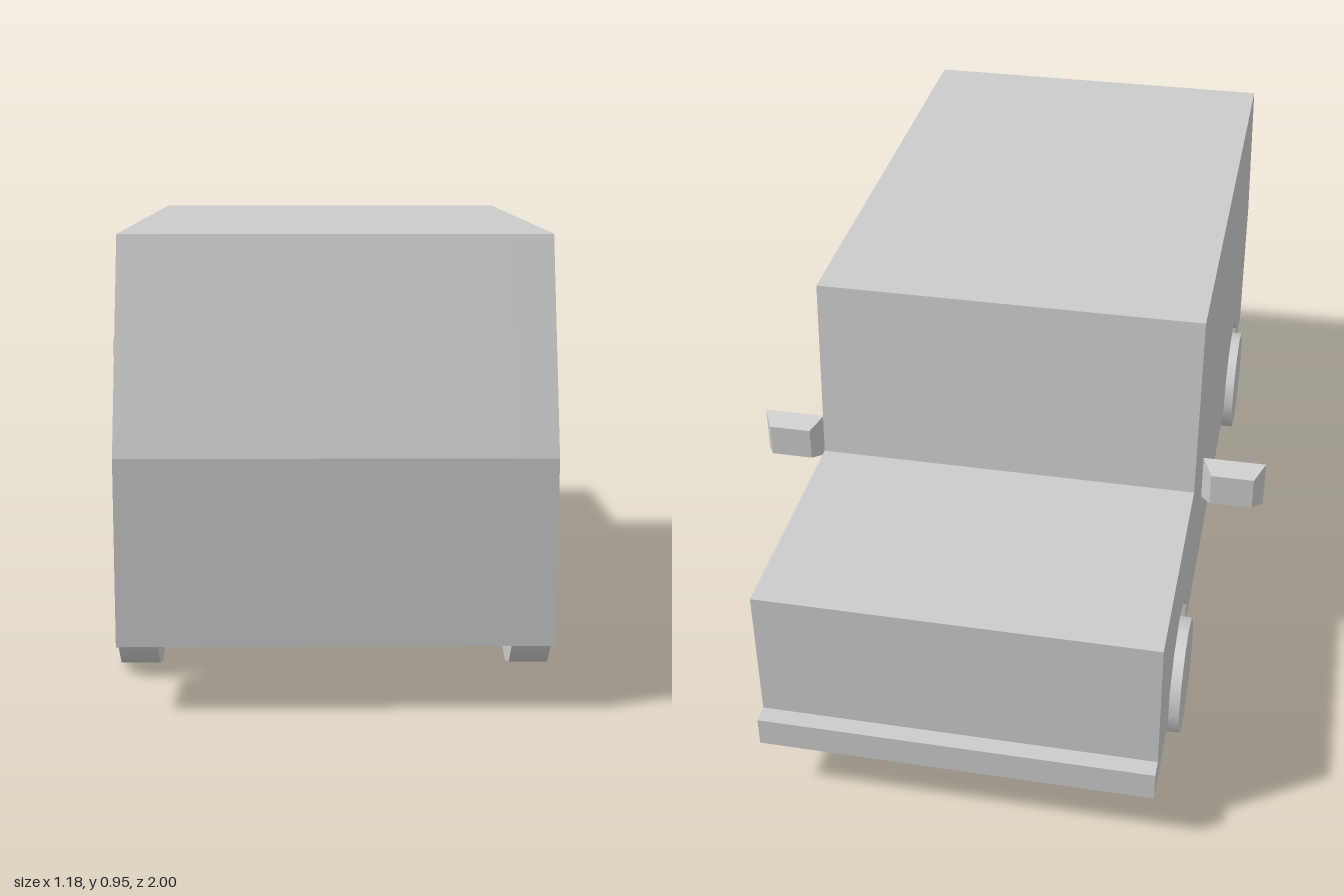
import * as THREE from 'three';

const HALF_W = 0.437;      // half body width
const WELL_X = 0.35;       // inner wall of the wheel wells
const AXLE_Y = 0.136;
const AXLES = { front: -0.608, rear: 0.653 };

export function createModel() {
  const group = new THREE.Group();
  const material = new THREE.MeshStandardMaterial({ color: 0xcccccc });

  const add = (name, geometry, x = 0, y = 0, z = 0) => {
    const mesh = new THREE.Mesh(geometry, material);
    mesh.name = name;
    mesh.position.set(x, y, z);
    group.add(mesh);
    return mesh;
  };

  // Extrude a side profile of [z, y] points across the width, centred on x = 0
  const extrudeSide = (points, width) => {
    const shape = new THREE.Shape(points.map(([z, y]) => new THREE.Vector2(z, y)));
    return new THREE.ExtrudeGeometry(shape, { depth: width, bevelEnabled: false })
      .translate(0, 0, -width / 2)
      .rotateY(-Math.PI / 2);
  };

  // Body silhouette, from the lower tail edge over the roof to the bumper
  const silhouette = [
    [1, 0.14], [1, 0.52], [0.853, 0.948], [-0.38, 0.948], [-0.418, 0.52],
    [-0.96, 0.52], [-0.96, 0.208], [-1, 0.208], [-1, 0.14],
  ];

  // Faceted wheel arch cut into the lower edge
  const arch = (z) => [
    [-0.16, 0.14], [-0.155, 0.217], [-0.1, 0.28], [0, 0.313],
    [0.1, 0.28], [0.155, 0.217], [0.16, 0.14],
  ].map(([dz, y]) => [z + dz, y]);

  // Full-length core, with arched side panels on either flank
  add('bodyCore', extrudeSide(silhouette, WELL_X * 2));
  const panel = extrudeSide(
    [...silhouette, ...arch(AXLES.front), ...arch(AXLES.rear)], HALF_W - WELL_X);
  for (const [side, s] of [['left', 1], ['right', -1]]) {
    add(`${side}SidePanel`, panel, s * (HALF_W + WELL_X) / 2);
  }

  // Wheels and diamond-section axles
  const wheel = new THREE.CylinderGeometry(0.136, 0.136, 0.083, 12).rotateZ(Math.PI / 2);
  const axle = new THREE.CylinderGeometry(0.037, 0.037, 0.76, 4).toNonIndexed();
  axle.computeVertexNormals();
  axle.rotateZ(Math.PI / 2);
  for (const [end, z] of Object.entries(AXLES)) {
    add(`${end}Axle`, axle, 0, AXLE_Y, z);
    add(`${end}LeftWheel`, wheel, 0.4175, AXLE_Y, z);
    add(`${end}RightWheel`, wheel, -0.4175, AXLE_Y, z);
  }

  // Door mirrors: boxes tapered toward -z
  const mirror = new THREE.BoxGeometry(0.142, 0.11, 0.044);
  const p = mirror.attributes.position;
  for (let i = 0; i < p.count; i++) {
    if (p.getZ(i) < 0) p.setXY(i, p.getX(i) * 0.68, p.getY(i) * 0.7);
  }
  mirror.computeVertexNormals();
  add('leftMirror', mirror, 0.521, 0.529, -0.39);
  add('rightMirror', mirror, -0.521, 0.529, -0.39);

  return group;
}
